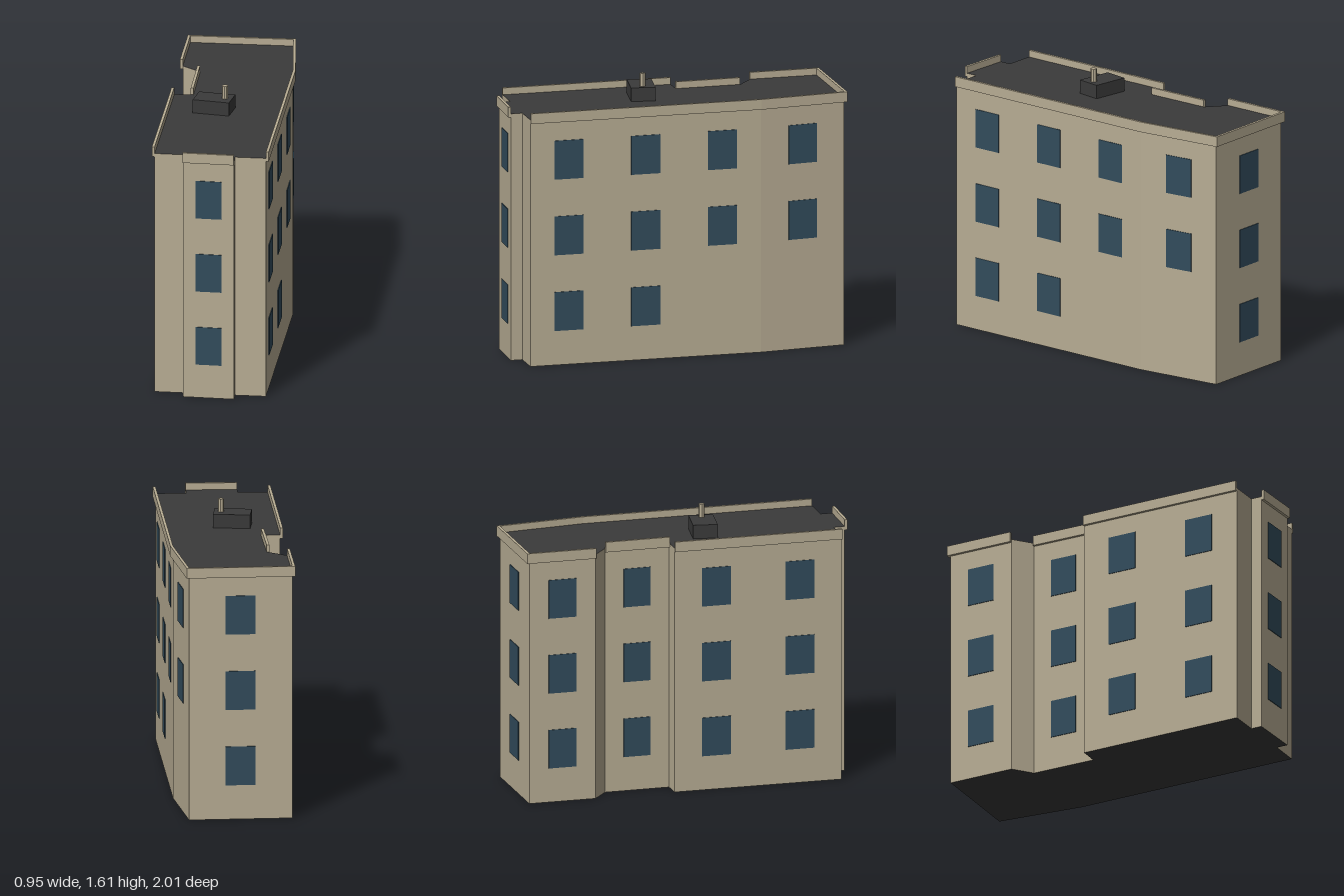
import * as THREE from 'three';

const wall = new THREE.MeshStandardMaterial({ color: 0xb8ad94 });
wall.name = 'beige wall';
const roof = new THREE.MeshStandardMaterial({ color: 0x3a3a3a });
roof.name = 'dark roof';
const glass = new THREE.MeshStandardMaterial({ color: 0x324c5c });
glass.name = 'window blue';

const ROOF_Y = 1.45;

// Footprint corners as [x, z], clockwise seen from above
const P = {
  A: [-0.459, -0.893], B: [0.126, -0.985], C: [0.255, -0.49], D: [0.456, 0.86],
  E: [0.281, 0.886], F: [0.292, 0.953], G: [-0.002, 0.987], H: [-0.011, 0.923],
  I: [-0.18, 0.946], J: [-0.326, -0.038], K: [-0.217, -0.055], L: [-0.278, -0.432],
  M: [-0.4, -0.503],
};

// Vertical prism over a plan outline
function prism(points, y0, y1, materials, name) {
  const shape = new THREE.Shape(points.map(([x, z]) => new THREE.Vector2(x, -z)));
  const geo = new THREE.ExtrudeGeometry(shape, { depth: y1 - y0, bevelEnabled: false });
  geo.rotateX(-Math.PI / 2);
  geo.translate(0, y0, 0);
  const mesh = new THREE.Mesh(geo, materials);
  mesh.name = name;
  return mesh;
}

// Direction, outward normal and length of a wall
function edge(p, q) {
  const len = Math.hypot(q[0] - p[0], q[1] - p[1]);
  const d = [(q[0] - p[0]) / len, (q[1] - p[1]) / len];
  return { len, d, n: [d[1], -d[0]] };
}

// Path moved outwards with mitred corners
function offset(path, t) {
  return path.map((p, i) => {
    const a = edge(path[Math.max(i - 1, 0)], path[Math.max(i, 1)]).n;
    const j = Math.min(i, path.length - 2);
    const b = edge(path[j], path[j + 1]).n;
    const k = t / (1 + a[0] * b[0] + a[1] * b[1]);
    return [p[0] + (a[0] + b[0]) * k, p[1] + (a[1] + b[1]) * k];
  });
}

// Rows of evenly spaced windows on one wall
function windows(p, q, count, width, hasWindow = () => true) {
  const group = new THREE.Group();
  group.name = 'windows';
  const { len, d, n } = edge(p, q);
  const geo = new THREE.BoxGeometry(width, 0.228, 0.006);
  for (let floor = 0; floor < 3; floor++) {
    for (let i = 0; i < count; i++) {
      if (!hasWindow(floor, i)) continue;
      const s = len * (i + 0.5) / count;
      const pane = new THREE.Mesh(geo, glass);
      pane.name = 'window';
      pane.position.set(p[0] + d[0] * s + n[0] * 0.001, 0.315 + floor * 0.445, p[1] + d[1] * s + n[1] * 0.001);
      pane.rotation.y = Math.atan2(-d[1], d[0]);
      group.add(pane);
    }
  }
  return group;
}

export function createModel() {
  const model = new THREE.Group();
  model.name = 'apartmentBuilding';

  // Walls with dark roof and underside
  model.add(prism(Object.values(P), 0, ROOF_Y, [roof, wall], 'buildingBody'));

  // Parapets on the main walls, left off the short return walls
  for (const chain of ['MABCD', 'FG', 'IJ', 'KL']) {
    const path = [...chain].map((c) => P[c]);
    const outline = [...path, ...offset(path, 0.016).reverse()];
    model.add(prism(outline, 1.43, 1.49, wall, 'parapet'));
  }

  // Windows; the rear of the left wall has none on the ground floor
  model.add(
    windows(P.M, P.A, 1, 0.165),
    windows(P.A, P.B, 1, 0.172),
    windows(P.B, P.C, 1, 0.172, (floor) => floor > 0),
    windows(P.C, P.D, 3, 0.172, (floor, i) => floor > 0 || i > 0),
    windows(P.F, P.G, 1, 0.15),
    windows(P.I, P.J, 2, 0.172),
    windows(P.K, P.L, 1, 0.16),
  );

  // Rooftop block and chimney
  const block = new THREE.Mesh(new THREE.BoxGeometry(0.214, 0.08, 0.142), roof);
  block.name = 'roofBlock';
  block.position.set(-0.037, ROOF_Y + 0.04, 0.165);
  const flue = new THREE.CylinderGeometry(0.018, 0.018, 0.157, 8).toNonIndexed();
  flue.computeVertexNormals();
  const chimney = new THREE.Mesh(flue, wall);
  chimney.name = 'chimney';
  chimney.position.set(0.029, 1.528, 0.165);
  model.add(block, chimney);

  return model;
}
